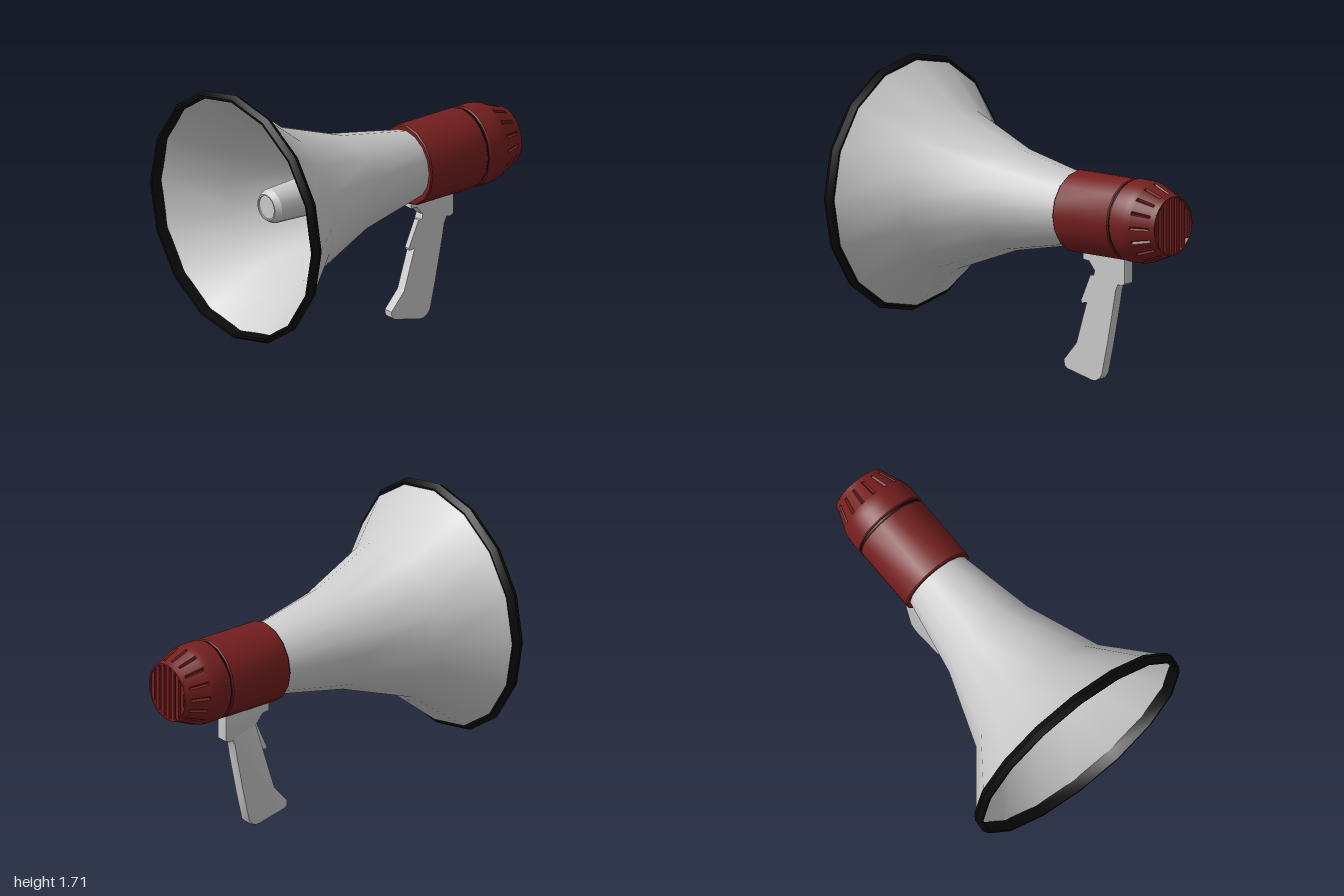
import * as THREE from 'three';
import { toCreasedNormals } from 'three/addons/utils/BufferGeometryUtils.js';

const AXIS_Y = 0.97;
const grey = new THREE.MeshStandardMaterial({ color: 0xcccccc, side: THREE.DoubleSide });
const red = new THREE.MeshStandardMaterial({ color: 0x741e1e, side: THREE.DoubleSide });
const black = new THREE.MeshStandardMaterial({ color: 0x0a0a0a, side: THREE.DoubleSide });

// Profile of [radius, z] pairs turned around the z axis
function turned(profile, sides = 16) {
  const pts = profile.map(([r, z]) => new THREE.Vector2(r, z));
  return new THREE.LatheGeometry(pts, sides).rotateX(Math.PI / 2);
}

// Side outline of [z, y] pairs, bevelled on the right and cut flat at x = 0
function sidePiece(outline, halfWidth, bevel) {
  const shape = new THREE.Shape(outline.map(([z, y]) => new THREE.Vector2(z, y)));
  const geo = new THREE.ExtrudeGeometry(shape, {
    depth: 2 * (halfWidth - bevel), bevelEnabled: true, bevelThickness: bevel,
    bevelSize: bevel, bevelOffset: -bevel, bevelSegments: 2,
  });
  geo.translate(0, 0, bevel - halfWidth).rotateY(-Math.PI / 2);
  const p = geo.attributes.position;
  for (let i = 0; i < p.count; i++) p.setX(i, Math.min(p.getX(i), 0));
  return toCreasedNormals(geo, 0.6);
}

// Rear cap with sixteen narrow grooves cut along its taper
function cappedEnd() {
  const profile = [
    [0, -0.982], [0.158, -0.982], [0.162, -1], [0.17, -1], [0.181, -0.967], [0.182, -0.965],
    [0.225, -0.86], [0.226, -0.858], [0.233, -0.83], [0.237, -0.8], [0.237, -0.722],
    [0.232, -0.715], [0.2, -0.715],
  ];
  const geo = turned(profile, 128);
  const p = geo.attributes.position;
  for (let i = 0; i < p.count; i++) {
    const column = Math.floor(i / profile.length);
    const z = p.getZ(i);
    if (column % 8 === 0 && z > -0.966 && z < -0.859) {
      p.setXY(i, p.getX(i) * 0.93, p.getY(i) * 0.93);
    }
  }
  return toCreasedNormals(geo, 0.5);
}

export function createModel() {
  const model = new THREE.Group();
  model.name = 'megaphone';
  const add = (name, geo, mat, parent = model) => {
    const mesh = new THREE.Mesh(geo, mat);
    mesh.name = name;
    parent.add(mesh);
    return mesh;
  };

  // Flared horn, black rim and the sound tube inside
  const horn = new THREE.Group();
  horn.name = 'hornAssembly';
  horn.position.y = AXIS_Y;
  model.add(horn);
  add('horn', turned([[0.2, -0.3], [0.295, 0.18], [0.46, 0.63], [0.712, 0.94]]), grey, horn);
  add('rim', toCreasedNormals(turned([
    [0.7, 0.933], [0.718, 0.933], [0.74, 0.967], [0.72, 1], [0.705, 1], [0.7, 0.933],
  ]), 0.5), black, horn);
  add('soundTube', toCreasedNormals(turned([
    [0.15, -0.29], [0.1, 0.71], [0.078, 0.745], [0.07, 0.745], [0.068, 0.738], [0, 0.738],
  ].reverse().map(([r, z]) => [r, z])), 0.5), grey, horn);

  // Red motor housing with a dark seam before the cap
  const body = new THREE.Group();
  body.name = 'housingAssembly';
  body.position.y = AXIS_Y - 0.005;
  body.scale.x = 0.96;
  model.add(body);
  add('housing', toCreasedNormals(turned([
    [0.2, -0.702], [0.232, -0.702], [0.237, -0.695], [0.237, -0.293], [0.231, -0.285], [0.14, -0.285],
  ]), 0.5), red, body);
  add('seam', turned([[0.228, -0.72], [0.228, -0.697]]), black, body);
  add('rearCap', cappedEnd(), red, body);

  // Upright slats across the rear face
  for (let i = -3; i <= 3; i++) {
    const x = i * 0.046;
    const height = 2 * Math.sqrt(0.162 ** 2 - x * x);
    add('rearSlat', new THREE.BoxGeometry(0.028, height, 0.02), red, body).position.set(x, 0, -0.988);
  }

  // Pistol grip, its mounting bracket and the trigger
  const handle = new THREE.Group();
  handle.name = 'handle';
  model.add(handle);
  add('grip', sidePiece([
    [-0.41, 0.64], [-0.27, 0.2], [-0.177, 0.095], [-0.18, 0.06], [-0.2, 0.045], [-0.38, 0.002],
    [-0.41, 0], [-0.44, 0.015], [-0.46, 0.04], [-0.5, 0.21], [-0.55, 0.455], [-0.565, 0.54], [-0.59, 0.59],
  ], 0.07, 0.018), grey, handle);
  add('bracket', sidePiece([
    [-0.32, 0.77], [-0.32, 0.69], [-0.365, 0.685], [-0.41, 0.63], [-0.605, 0.57], [-0.633, 0.585], [-0.633, 0.77],
  ], 0.075, 0.008), grey, handle);
  add('trigger', sidePiece([
    [-0.375, 0.605], [-0.305, 0.45], [-0.31, 0.435], [-0.38, 0.45], [-0.43, 0.6],
  ], 0.04, 0.008), grey, handle);

  return model;
}
